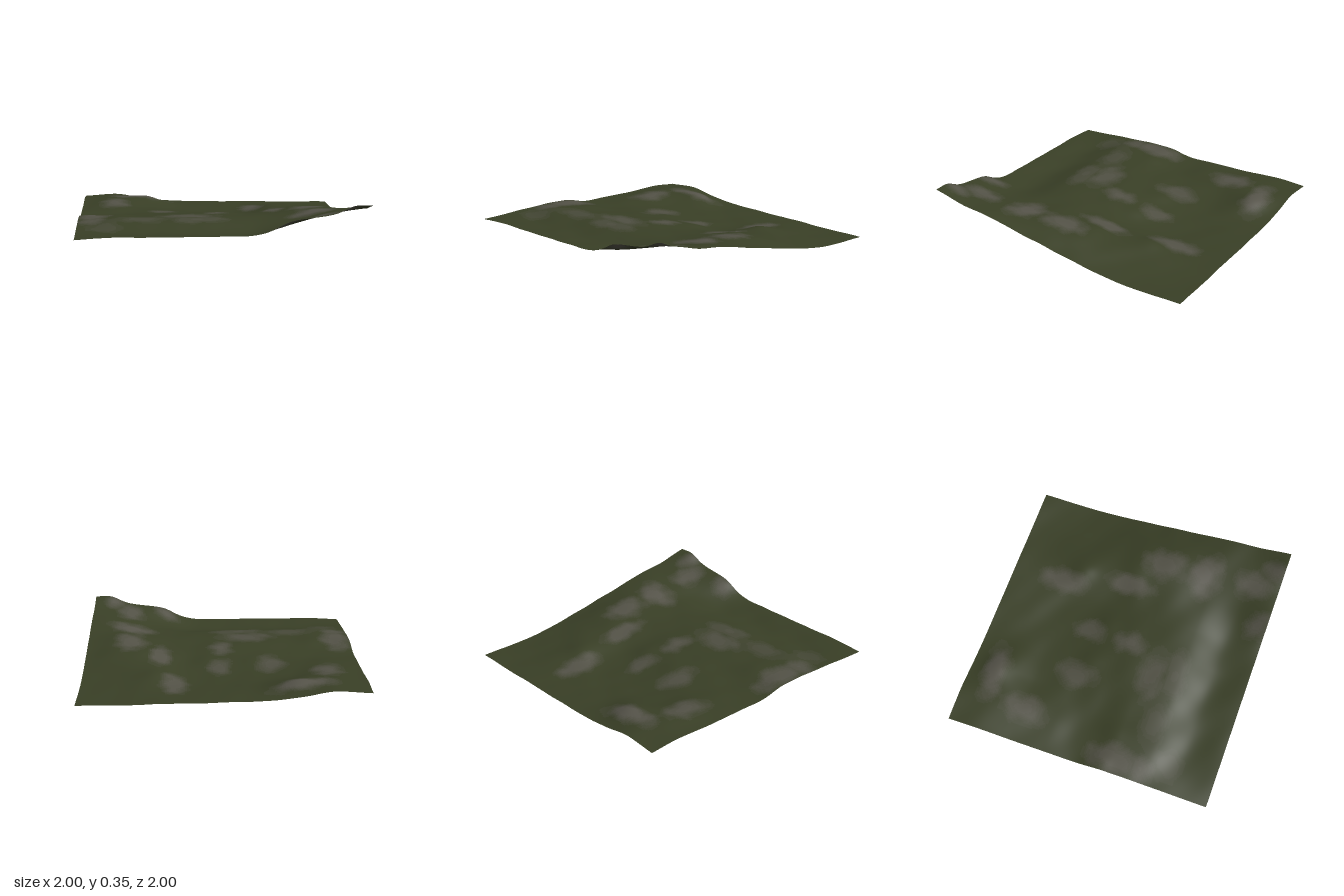
import * as THREE from 'three';

// Control heights in cm: rows run back to front, columns run from -x to +x
const ROWS = [
  [8.0, 9.0, 5.0, 2.8, 2.2, 1.6, 1.0, 0.7, 0.6],
  [9.5, 11.4, 10.0, 4.2, 2.4, 2.2, 3.0, 1.6, 1.0],
  [9.5, 11.2, 7.0, 4.4, 3.0, 3.2, 7.4, 4.6, 2.8],
  [9.8, 10.6, 8.8, 7.8, 6.6, 5.6, 10.0, 10.2, 7.4],
  [10.5, 10.6, 11.2, 12.2, 12.2, 11.0, 13.8, 16.2, 12.8],
  [15.0, 15.4, 15.2, 15.6, 15.4, 14.8, 16.4, 20.2, 18.4],
  [15.4, 17.4, 17.1, 16.8, 16.5, 15.6, 17.2, 22.2, 24.5],
  [15.0, 14.0, 13.0, 12.5, 12.0, 12.8, 18.5, 25.0, 28.5],
  [14.8, 15.7, 15.7, 15.6, 15.6, 16.6, 26.0, 29.5, 35.0],
];

// Local knolls: x, z, radius, height
const KNOLLS = [
  [0.87, 1.0, 0.09, 0.026], [0.42, 1.0, 0.07, 0.008], [-0.94, 0.17, 0.08, 0.012],
  [-0.72, 0.19, 0.1, 0.012], [-0.5, -0.81, 0.1, 0.014], [-0.22, -0.18, 0.09, 0.008],
  [0.1, -0.12, 0.09, 0.01], [0.44, -0.47, 0.09, 0.012], [0.56, -0.08, 0.09, 0.008],
];

// Bare patches: x, z, radius in x, radius in z, strength
const PATCHES = [
  [-0.55, -0.81, 0.28, 0.11, 1], [-0.75, -0.5, 0.14, 0.2, 0.8], [-0.36, -0.23, 0.13, 0.18, 0.7],
  [0.01, -0.26, 0.1, 0.17, 0.7], [0.0, 0.07, 0.1, 0.16, 0.8], [-0.19, 0.32, 0.24, 0.14, 0.7],
  [-0.9, 0.25, 0.14, 0.24, 0.9], [-0.9, 0.47, 0.12, 0.12, 0.8], [0.34, -0.6, 0.12, 0.22, 0.9],
  [0.45, -0.1, 0.1, 0.22, 0.9], [0.67, 0.12, 0.15, 0.2, 0.9], [0.68, 0.44, 0.2, 0.15, 1],
  [0.7, 0.8, 0.12, 0.17, 0.9], [0.42, 0.94, 0.13, 0.12, 0.8], [0.84, 0.94, 0.1, 0.12, 0.8],
  [-0.15, 0.47, 0.25, 0.12, 0.5], [-0.55, 0.45, 0.25, 0.13, 0.4], [-0.82, 0.65, 0.16, 0.14, 0.3],
];

function spline(v, t) {
  const i = Math.min(Math.floor(t), v.length - 2), f = t - i;
  const at = k => v[Math.max(0, Math.min(v.length - 1, k))];
  const [a, b, c, d] = [at(i - 1), at(i), at(i + 1), at(i + 2)];
  return b + 0.5 * f * (c - a + f * (2 * a - 5 * b + 4 * c - d + f * (3 * (b - c) + d - a)));
}

// Small, repeatable undulation
function ripple(x, z) {
  return Math.sin(9 * x + 4 * z + 2 * Math.sin(5 * z)) * Math.sin(11 * z - 3 * x + 1)
    + 0.5 * Math.sin(21 * x - 8 * z) * Math.sin(17 * z + 6 * x);
}

function height(x, z) {
  const column = ROWS.map(row => spline(row, (x + 1) * 4));
  let y = spline(column, (z + 1) * 4) / 100 + 0.0025 * ripple(x, z);
  for (const [cx, cz, r, h] of KNOLLS)
    y += h * Math.exp(-((x - cx) ** 2 + (z - cz) ** 2) / (r * r));
  return y;
}

// Bareness from 0 (grass) to 1 (stone), fading towards each patch's rim
function bareness(x, z) {
  let most = 0;
  for (const [cx, cz, rx, rz, strength] of PATCHES) {
    const d = Math.hypot((x - cx) / rx, (z - cz) / rz) + 0.15 * ripple(2 * x, 2 * z);
    most = Math.max(most, strength * (1 - THREE.MathUtils.smoothstep(d, 0.2, 1.15)));
  }
  return most;
}

export function createModel() {
  const group = new THREE.Group();
  group.name = 'terrain';
  const n = 160, shades = 8;

  // Raise a flat sheet by the height rule and rest it on the ground
  const sheet = new THREE.PlaneGeometry(2, 2, n, n).rotateX(-Math.PI / 2);
  const pos = sheet.attributes.position;
  for (let i = 0; i < pos.count; i++) pos.setY(i, height(pos.getX(i), pos.getZ(i)));
  sheet.computeBoundingBox();
  sheet.translate(0, -sheet.boundingBox.min.y, 0);
  sheet.computeVertexNormals();

  // Sort the faces by ground cover; all covers share the same smooth surface
  const faces = Array.from({ length: shades }, () => []);
  const index = sheet.index.array;
  for (let i = 0; i < index.length; i += 6) {
    const x = (pos.getX(index[i]) + pos.getX(index[i + 4])) / 2;
    const z = (pos.getZ(index[i]) + pos.getZ(index[i + 4])) / 2;
    faces[Math.round(bareness(x, z) * (shades - 1))].push(...index.slice(i, i + 6));
  }
  const grass = new THREE.Color(0x393f26), stone = new THREE.Color(0x56544a);
  faces.forEach((list, k) => {
    const geometry = new THREE.BufferGeometry();
    geometry.setAttribute('position', pos);
    geometry.setAttribute('normal', sheet.attributes.normal);
    geometry.setIndex(list);
    const color = grass.clone().lerp(stone, k / (shades - 1));
    const mesh = new THREE.Mesh(geometry,
      new THREE.MeshStandardMaterial({ color, side: THREE.DoubleSide }));
    mesh.name = k === 0 ? 'grass' : k < shades / 2 ? `wornGrass${k}` : `stone${k}`;
    group.add(mesh);
  });
  return group;
}
